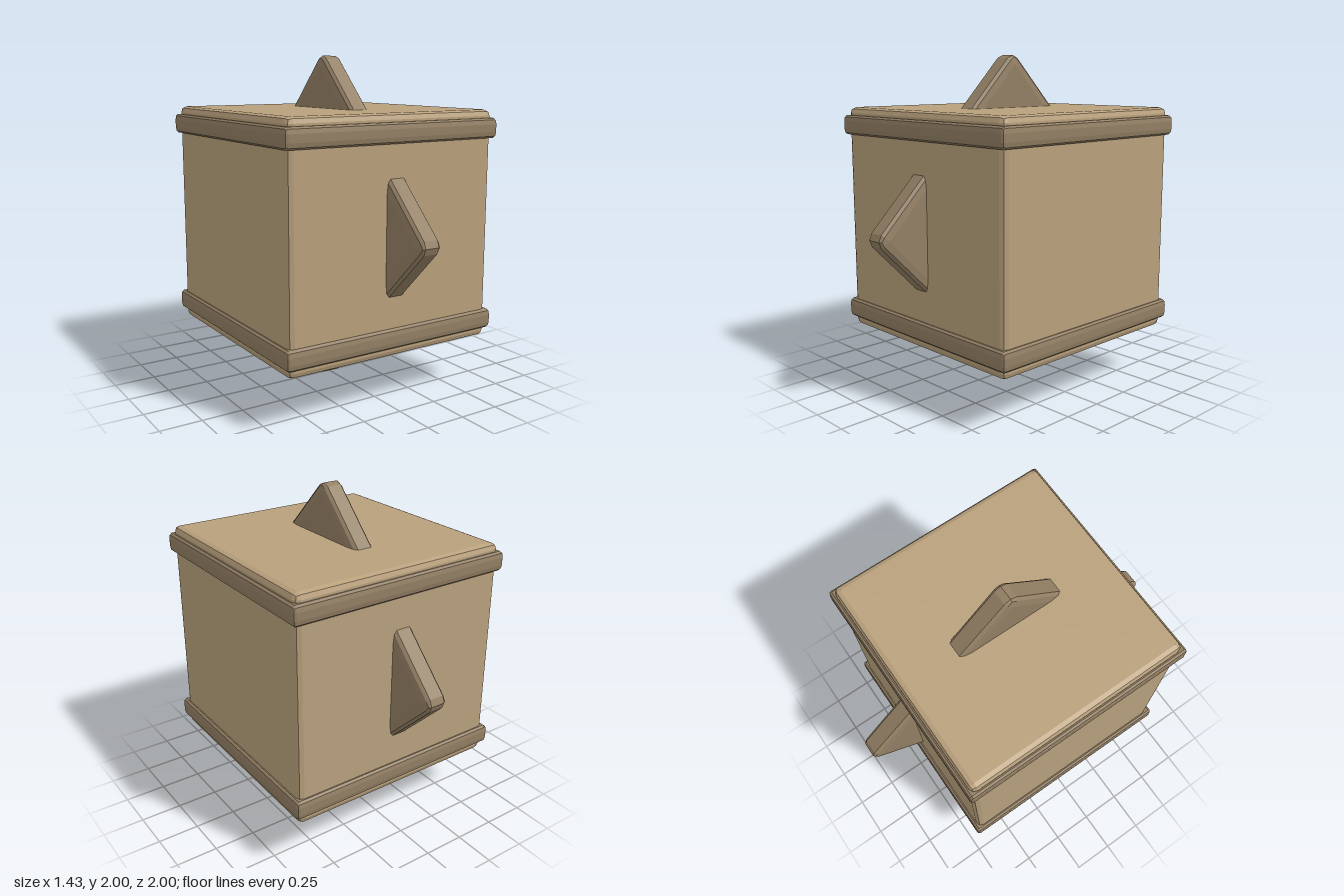
import * as THREE from 'three';
import { RoundedBoxGeometry } from 'three/addons/geometries/RoundedBoxGeometry.js';

const light = new THREE.MeshStandardMaterial({ color: 0xb8a07c, flatShading: true });
const dark = new THREE.MeshStandardMaterial({ color: 0x937f64, flatShading: true });

// Bevelled box; bevel widths differ per axis through the squash factors
function bevelBox(name, size, radius, squash, material) {
  const [w, h, d] = size.map((s, i) => s / squash[i]);
  const geometry = new RoundedBoxGeometry(w, h, d, 1, radius);
  geometry.scale(...squash);
  const mesh = new THREE.Mesh(geometry, material);
  mesh.name = name;
  return mesh;
}

export function createModel() {
  const group = new THREE.Group();
  group.name = 'crate';

  // Main cube
  const body = bevelBox('body', [1.38, 1.38, 1.38], 0.035, [1, 1, 1], light);
  body.position.y = 1;
  group.add(body);

  // Bands round the top and bottom rims
  for (const [name, y] of [['lowerBand', 0.422], ['upperBand', 1.583]]) {
    const band = bevelBox(name, [1.43, 0.117, 1.43], 0.018, [1, 2, 1], dark);
    band.position.y = y;
    group.add(band);
  }

  // Diamond plate through the middle; its corners show as four fins
  const plate = bevelBox('diamondPlate', [0.134, 1.448, 1.448], 0.055, [0.4, 1, 1], dark);
  plate.rotation.x = Math.PI / 4;
  plate.position.y = 1;
  group.add(plate);

  return group;
}
